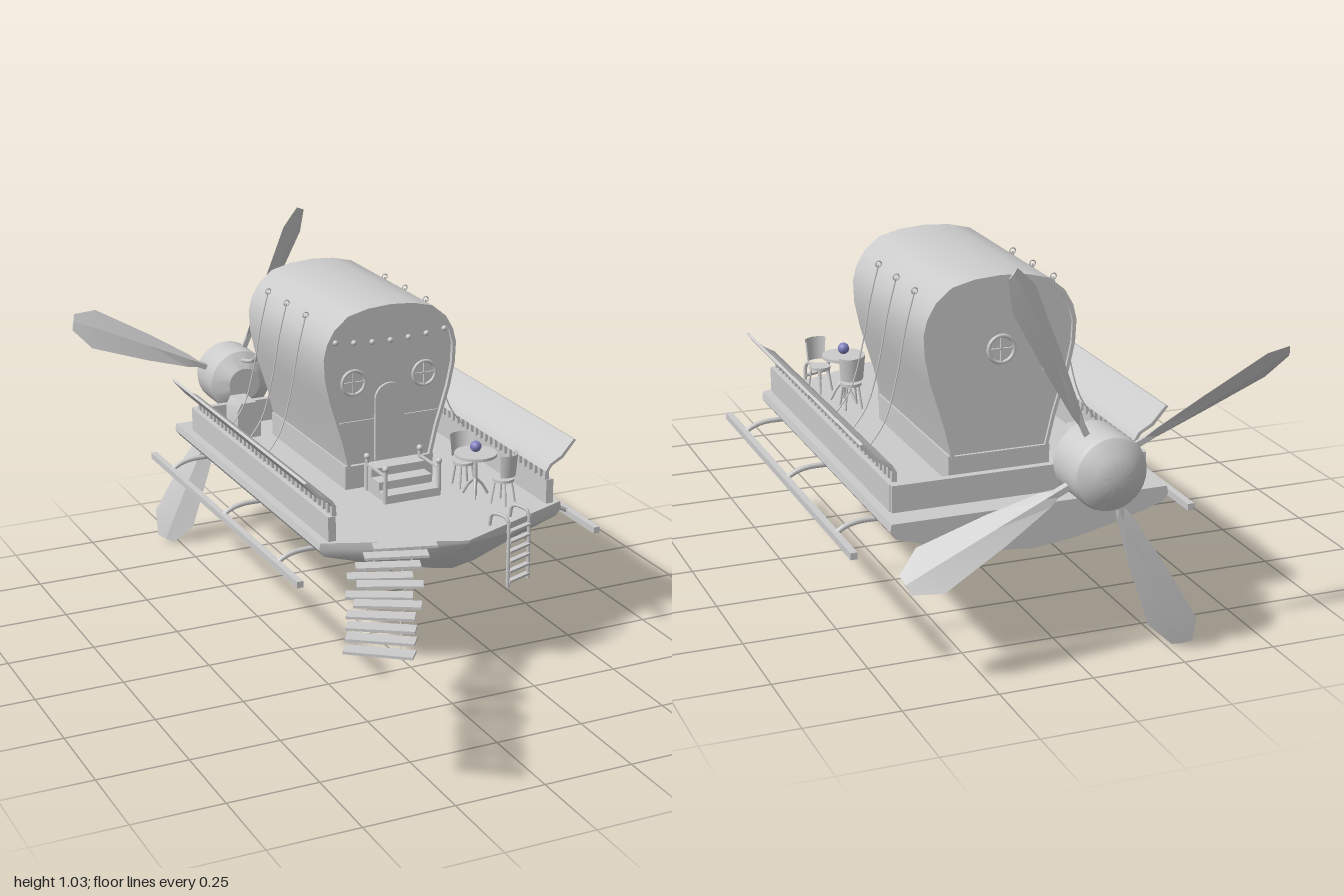
import * as THREE from 'three';
import { toCreasedNormals } from 'three/addons/utils/BufferGeometryUtils.js';

const grey = new THREE.MeshStandardMaterial({ color: 0xcccccc, side: THREE.DoubleSide });
const V = (x, y, z) => new THREE.Vector3(x, y, z);

function add(parent, name, geo, x = 0, y = 0, z = 0, mat = grey) {
  const m = new THREE.Mesh(geo, mat);
  m.name = name;
  m.position.set(x, y, z);
  parent.add(m);
  return m;
}
const box = (p, n, w, h, d, x, y, z) => add(p, n, new THREE.BoxGeometry(w, h, d), x, y, z);
const cyl = (p, n, r, h, x, y, z, seg = 12) => add(p, n, new THREE.CylinderGeometry(r, r, h, seg), x, y, z);
const ball = (p, n, r, x, y, z, mat) => add(p, n, new THREE.SphereGeometry(r, 14, 10), x, y, z, mat);
const tube = (p, n, pts, r, seg = 16) =>
  add(p, n, new THREE.TubeGeometry(new THREE.CatmullRomCurve3(pts), seg, r, 6));
const shapeOf = pts => new THREE.Shape(pts.map(p => new THREE.Vector2(p[0], p[1])));
const extrude = (shape, depth) =>
  toCreasedNormals(new THREE.ExtrudeGeometry(shape, { depth, bevelEnabled: false, curveSegments: 12 }), 0.6);

// Skin closed rings (counter-clockwise seen from +z), ordered by rising z, with caps
function loft(rings, crease) {
  const pos = [], n = rings[0].length;
  const tri = (...p) => p.forEach(v => pos.push(v.x, v.y, v.z));
  for (let i = 0; i < rings.length - 1; i++) for (let j = 0; j < n; j++) {
    const k = (j + 1) % n, a = rings[i], b = rings[i + 1];
    tri(a[j], a[k], b[k]);
    tri(a[j], b[k], b[j]);
  }
  const last = rings[rings.length - 1];
  for (let j = 1; j < n - 1; j++) {
    tri(rings[0][0], rings[0][j + 1], rings[0][j]);
    tri(last[0], last[j], last[j + 1]);
  }
  const g = new THREE.BufferGeometry();
  g.setAttribute('position', new THREE.Float32BufferAttribute(pos, 3));
  return toCreasedNormals(g, crease);
}

function buildHull(boat) {
  // z, half width, keel height, chine height
  const rings = [[-0.84, 0.37, 0.3, 0.375], [0.24, 0.37, 0.297, 0.375], [0.3, 0.222, 0.302, 0.378], [0.39, 0.002, 0.405, 0.408]]
    .map(([z, w, k, c]) => {
      const half = [[0.3, k + (c - k) * 0.16], [0.66, k + (c - k) * 0.55], [0.96, c], [1, (c + 0.415) / 2], [0.99, 0.415]];
      return [V(0, k, z), ...half.map(([x, y]) => V(x * w, y, z)), ...half.reverse().map(([x, y]) => V(-x * w, y, z))];
    });
  add(boat, 'hull', loft(rings, 0.5));

  box(boat, 'sternWall', 0.68, 0.07, 0.02, 0, 0.45, -0.76);
  const flare = shapeOf([[0.318, 0.51], [0.33, 0.53], [0.365, 0.55], [0.404, 0.593], [0.412, 0.59], [0.372, 0.543], [0.338, 0.525], [0.326, 0.507]]);
  for (const s of [-1, 1]) {
    box(boat, 'sideWall', 0.022, 0.07, 1.0, s * 0.332, 0.45, -0.26);
    for (let i = 0; i < 34; i++) box(boat, 'baluster', 0.012, 0.026, 0.014, s * 0.324, 0.497, 0.23 - i * 0.0293);
    const panel = add(boat, 'flaredPanel', extrude(flare, 0.985), 0, 0, -0.745);
    panel.scale.x = s;
    // Landing skid and its bent arms
    box(boat, 'skid', 0.018, 0.018, 1.11, s * 0.452, 0.335, -0.255);
    for (const z of [-0.66, -0.25, 0.14])
      tube(boat, 'skidArm', [V(s * 0.45, 0.337, z), V(s * 0.425, 0.352, z), V(s * 0.39, 0.361, z), V(s * 0.325, 0.362, z)], 0.007);
  }
}

function roundWindow(parent, x, y, z) {
  add(parent, 'windowFrame', new THREE.TorusGeometry(0.035, 0.005, 8, 28), x, y, z);
  box(parent, 'windowBar', 0.07, 0.005, 0.006, x, y, z);
  box(parent, 'windowBar', 0.005, 0.07, 0.006, x, y, z);
}

function buildCabin(boat) {
  const half = [[0.13, 0.475], [0.15, 0.56], [0.187, 0.68], [0.202, 0.75], [0.205, 0.81], [0.195, 0.85],
    [0.172, 0.89], [0.13, 0.925], [0.07, 0.94], [0, 0.945]];
  const outline = [...half, ...half.slice(0, -1).reverse().map(([x, y]) => [-x, y])];
  const inner = outline.map(([x, y]) => [x * 0.95, 0.7 + (y - 0.7) * 0.955]);
  const shell = shapeOf(outline);
  shell.holes.push(new THREE.Path(inner.map(p => new THREE.Vector2(...p))));
  add(boat, 'cabinShell', extrude(shell, 0.54), 0, 0, -0.63);
  add(boat, 'cabinBody', extrude(shapeOf(inner), 0.52), 0, 0, -0.622);
  box(boat, 'cabinBase', 0.275, 0.07, 0.53, 0, 0.45, -0.36);

  // Front face: arched door, windows, trim and scalloped valance with lamps
  const z = -0.1;
  const door = new THREE.Shape();
  door.moveTo(-0.046, 0.49);
  door.lineTo(0.046, 0.49);
  door.lineTo(0.046, 0.67);
  door.absarc(0, 0.67, 0.046, 0, Math.PI);
  add(boat, 'door', extrude(door, 0.008), 0, 0, z);
  for (const s of [-1, 1]) {
    roundWindow(boat, s * 0.11, 0.728, z);
    box(boat, 'wallTrim', 0.105, 0.005, 0.006, s * 0.1, 0.612, z);
  }
  roundWindow(boat, 0, 0.755, -0.634);
  const sag = x => 0.848 + 0.45 * x * x;
  const valance = shapeOf([...inner.filter(p => p[1] > 0.87),
    ...[-0.175, -0.09, 0, 0.09, 0.175].map(x => [x, sag(x)])]);
  add(boat, 'valance', extrude(valance, 0.008), 0, 0, z);
  for (let i = -3; i <= 3; i++) ball(boat, 'lamp', 0.008, i * 0.056, sag(i * 0.056) - 0.007, z + 0.008);

  // Tie-down ropes with rings
  for (const s of [-1, 1]) for (const rz of [-0.25, -0.385, -0.52]) {
    add(boat, 'ropeRing', new THREE.TorusGeometry(0.008, 0.002, 6, 14), s * 0.188, 0.895, rz);
    tube(boat, 'tieRope', [V(s * 0.188, 0.893, rz), V(s * 0.212, 0.8, rz), V(s * 0.235, 0.68, rz),
      V(s * 0.27, 0.56, rz), V(s * 0.322, 0.487, rz)], 0.002, 20);
  }

  // Porch steps and newel posts
  for (let i = 0; i < 3; i++) {
    const h = 0.024 * (3 - i);
    box(boat, 'step', 0.165, h, 0.05, 0, 0.415 + h / 2, -0.065 + i * 0.048);
  }
  for (const s of [-1, 1]) {
    for (const pz of [-0.07, 0.05]) {
      cyl(boat, 'newelPost', 0.006, 0.1, s * 0.083, 0.465, pz);
      ball(boat, 'newelBall', 0.009, s * 0.083, 0.517, pz);
    }
    box(boat, 'porchRail', 0.006, 0.006, 0.12, s * 0.083, 0.495, -0.01);
  }
}

function buildPropeller(root) {
  const prop = new THREE.Group();
  prop.name = 'propeller';
  prop.position.set(-0.05, 0.52, -0.91);
  root.add(prop);
  const prof = [[0, -0.1], [0.03, -0.098], [0.055, -0.09], [0.093, -0.062], [0.097, -0.05], [0.097, 0.068], [0.05, 0.1], [0, 0.1]];
  const hub = add(prop, 'hub', toCreasedNormals(new THREE.LatheGeometry(prof.map(p => new THREE.Vector2(...p)), 32), 0.5));
  hub.rotation.x = Math.PI / 2;
  // radius, half width, half thickness
  const rings = [[0.07, 0.012, 0.01], [0.13, 0.012, 0.01], [0.16, 0.022, 0.01], [0.3, 0.045, 0.01], [0.49, 0.066, 0.008], [0.56, 0.028, 0.003]]
    .map(([r, w, t]) => [V(w, 0, r), V(0, t, r), V(-w, 0, r), V(0, -t, r)]);
  const c = Math.cos(0.7), s = Math.sin(0.7);
  const blade = loft(rings, 0.15).applyMatrix4(new THREE.Matrix4().makeBasis(V(0, c, s), V(0, -s, c), V(1, 0, 0)));
  for (let i = 0; i < 4; i++) add(prop, 'blade', blade).rotation.z = THREE.MathUtils.degToRad(65 + i * 90);
  // Drive pipe from cabin to hub and engine box
  for (const d of [0, 0.014])
    tube(root, 'drivePipe', [V(-0.02 - d, 0.69, -0.625), V(-0.025 - d, 0.665, -0.69), V(-0.038 - d / 2, 0.61, -0.76), V(-0.05, 0.59, -0.84)], 0.006);
  const e = shapeOf([[-0.037, 0], [0.037, 0], [0.037, 0.085], [0.024, 0.11], [-0.024, 0.11], [-0.037, 0.085]]);
  add(root, 'engineBox', extrude(e, 0.09), -0.118, 0.42, -0.7);
}

function buildGangplank(root) {
  const mids = [[-0.07, 0.35], [-0.12, 0.4], [-0.17, 0.455], [-0.22, 0.51], [-0.22, 0.57], [-0.275, 0.62],
    [-0.28, 0.68], [-0.325, 0.735], [-0.355, 0.8], [-0.385, 0.86], [-0.42, 0.925]];
  mids.forEach(([x, z], i) => {
    box(root, 'plank', 0.17, 0.007, 0.043, x, 0.416, z).rotation.y = -(0.28 + 0.037 * i);
  });
  for (const d of [-0.045, 0.045])
    tube(root, 'plankRope', mids.map(([x, z]) => V(x + d, 0.412, z + d * 0.4)), 0.002, 40);
}

function buildLadder(root) {
  const ladder = new THREE.Group();
  ladder.name = 'ladder';
  ladder.position.set(0.265, 0, 0.355);
  ladder.rotation.y = 0.38;
  root.add(ladder);
  for (const s of [-1, 1]) {
    cyl(ladder, 'ladderRail', 0.005, 0.185, s * 0.043, 0.345, 0.008);
    tube(ladder, 'ladderHandle', [V(s * 0.043, 0.43, 0.008), V(s * 0.043, 0.45, 0), V(s * 0.043, 0.45, -0.05), V(s * 0.043, 0.415, -0.06)], 0.005);
  }
  for (let i = 0; i < 6; i++) box(ladder, 'rung', 0.086, 0.006, 0.016, 0, 0.268 + i * 0.029, 0.008);
}

function buildFurniture(root) {
  const x = 0.272, z = 0.1;
  cyl(root, 'tableTop', 0.06, 0.008, x, 0.54, z, 28);
  cyl(root, 'tableStem', 0.006, 0.12, x, 0.477, z);
  for (let i = 0; i < 3; i++) {
    const a = i * Math.PI * 2 / 3;
    tube(root, 'tableLeg', [V(x, 0.47, z), V(x + 0.02 * Math.cos(a), 0.45, z + 0.02 * Math.sin(a)),
      V(x + 0.04 * Math.cos(a), 0.417, z + 0.04 * Math.sin(a))], 0.004, 8);
  }
  ball(root, 'tableGlobe', 0.016, x, 0.562, z, new THREE.MeshStandardMaterial({ color: 0x8080c0 }));
  // Chairs with curved backs, back of chair along local -z
  for (const [cx, cz, turn] of [[0.28, 0.015, 0], [0.315, 0.185, Math.PI + 0.5]]) {
    const chair = new THREE.Group();
    chair.name = 'chair';
    chair.position.set(cx, 0, cz);
    chair.rotation.y = turn;
    root.add(chair);
    cyl(chair, 'seat', 0.03, 0.008, 0, 0.487, 0, 18);
    for (const sx of [-1, 1]) for (const sz of [-1, 1])
      tube(chair, 'chairLeg', [V(sx * 0.016, 0.487, sz * 0.016), V(sx * 0.024, 0.417, sz * 0.024)], 0.003, 2);
    add(chair, 'chairBack', new THREE.CylinderGeometry(0.04, 0.034, 0.065, 12, 1, true, Math.PI * 0.6, Math.PI * 0.8), 0, 0.533, 0);
  }
}

export function createModel() {
  const root = new THREE.Group();
  root.name = 'airshipHouseboat';
  const boat = new THREE.Group();
  boat.name = 'boat';
  boat.position.x = 0.1;
  root.add(boat);
  buildHull(boat);
  buildCabin(boat);
  buildPropeller(root);
  buildGangplank(root);
  buildLadder(root);
  buildFurniture(root);
  return root;
}
